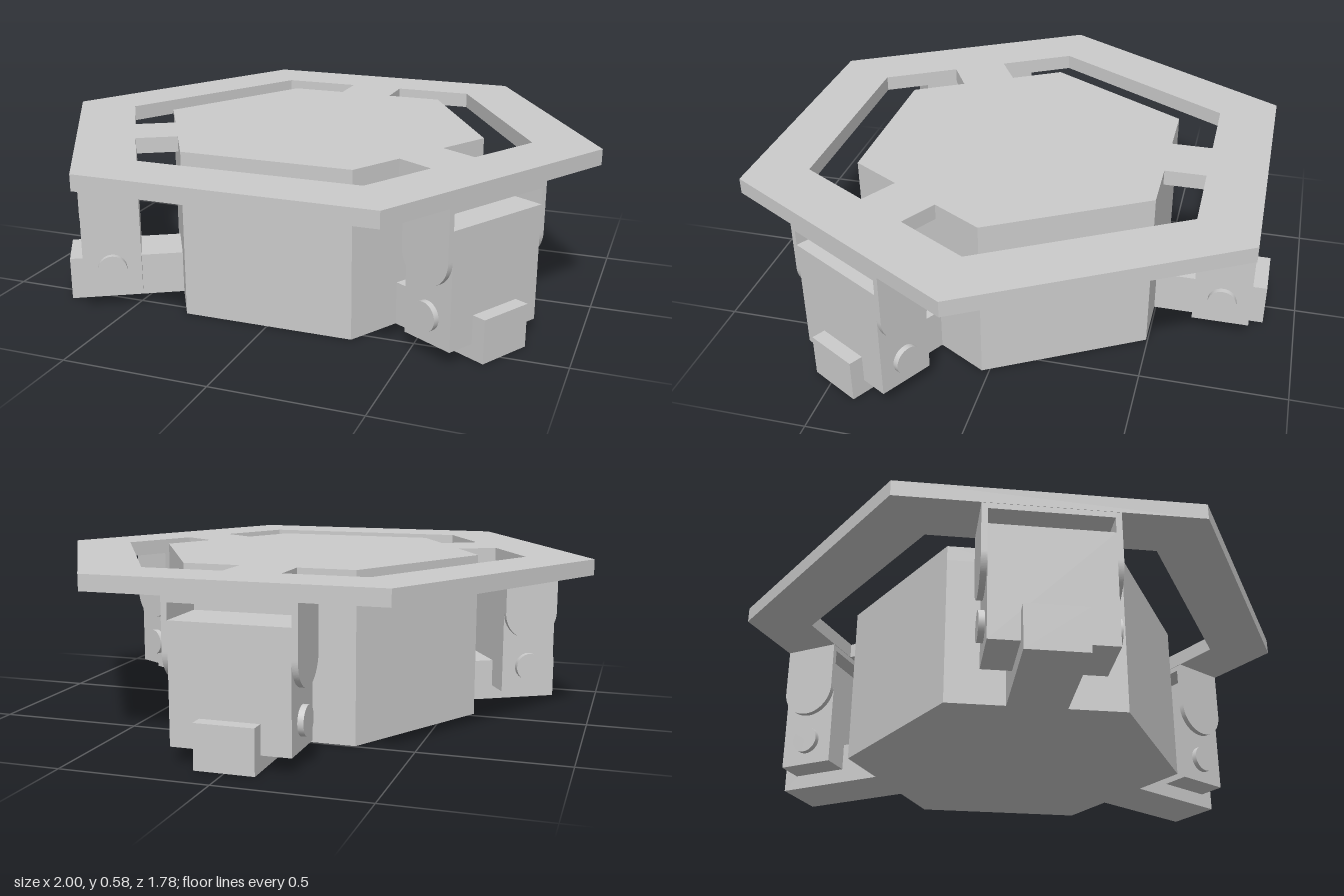
import * as THREE from 'three';

const material = new THREE.MeshStandardMaterial({ color: 0xcccccc });

function add(parent, name, geometry, x = 0, y = 0, z = 0) {
  const mesh = new THREE.Mesh(geometry, material);
  mesh.name = name;
  mesh.position.set(x, y, z);
  parent.add(mesh);
  return mesh;
}

// Box given by half width, height range and radial range
function addBox(parent, name, halfWidth, y0, y1, r0, r1) {
  return add(parent, name, new THREE.BoxGeometry(2 * halfWidth, y1 - y0, r1 - r0),
    0, (y0 + y1) / 2, (r0 + r1) / 2);
}

function hexagon(radius) {
  const points = [];
  for (let i = 0; i < 6; i++) {
    const a = i * Math.PI / 3;
    points.push(new THREE.Vector2(radius * Math.cos(a), radius * Math.sin(a)));
  }
  return points;
}

// Extrudes a plan outline (x, z) downwards from y = 0
function slab(shape, depth) {
  return new THREE.ExtrudeGeometry(shape, { depth, bevelEnabled: false }).rotateX(Math.PI / 2);
}

const BODY_R = 0.6, HOLE_R = 0.766, SPOKE = 0.1;
const APOTHEM = Math.sqrt(3) / 2;

// Hexagonal ring joined to the centre by three spokes
function topPlate() {
  const shape = new THREE.Shape(hexagon(1));
  const onSpoke = (r) => new THREE.Vector2(APOTHEM * r - SPOKE / 2, r / 2 + SPOKE * APOTHEM);
  const half = [
    new THREE.Vector2(HOLE_R / 2, HOLE_R * APOTHEM),
    onSpoke(HOLE_R * APOTHEM),
    onSpoke(BODY_R * APOTHEM),
    new THREE.Vector2(BODY_R / 2, BODY_R * APOTHEM),
  ];
  const mirrored = half.map((p) => new THREE.Vector2(-p.x, p.y)).reverse();
  for (let i = 0; i < 3; i++) {
    const centre = new THREE.Vector2();
    const outline = [...half, ...mirrored].map((p) => p.clone().rotateAround(centre, i * 2 * Math.PI / 3));
    shape.holes.push(new THREE.Path(outline));
  }
  return slab(shape, 0.055);
}

// One arm, reaching outwards along its local +z
function makeArm() {
  const arm = new THREE.Group();
  arm.name = 'arm';
  const r0 = 0.665, r1 = 0.865, mid = (r0 + r1) / 2;

  // Notched rail holding the motor block
  const rail = new THREE.Shape([
    [0.5, 0], [0.915, 0], [0.915, 0.15], [r1, 0.15], [r1, 0.052], [r0, 0.052], [r0, 0.15], [0.5, 0.15],
  ].map(([r, y]) => new THREE.Vector2(r, y)));
  add(arm, 'rail', new THREE.ExtrudeGeometry(rail, { depth: 2 * SPOKE, bevelEnabled: false })
    .rotateY(-Math.PI / 2), SPOKE);

  addBox(arm, 'motorBlock', 0.2, 0.052, 0.45, r0, r1);
  addBox(arm, 'bracketTop', 0.2, 0.505, 0.525, r0, r1);

  // Round-ended bracket tabs and pivot discs on both sides
  const tab = new THREE.Shape();
  tab.moveTo(r1, 0.525);
  tab.lineTo(r0, 0.525);
  tab.lineTo(r0, 0.35);
  tab.absarc(mid, 0.35, 0.1, Math.PI, 2 * Math.PI, false);
  const tabGeometry = new THREE.ExtrudeGeometry(tab, { depth: 0.02, bevelEnabled: false, curveSegments: 32 })
    .rotateY(-Math.PI / 2);
  const discGeometry = new THREE.CylinderGeometry(0.05, 0.05, 0.02, 32).rotateZ(Math.PI / 2);
  for (const side of [-1, 1]) {
    add(arm, 'bracketTab', tabGeometry, side * 0.21 + 0.01);
    add(arm, 'pivotDisc', discGeometry, side * 0.21, 0.145, mid);
  }
  return arm;
}

export function createModel() {
  const model = new THREE.Group();
  model.name = 'hexagonalPlatform';

  add(model, 'body', slab(new THREE.Shape(hexagon(BODY_R)), 0.525), 0, 0.525);
  add(model, 'topPlate', topPlate(), 0, 0.58);

  for (let i = 0; i < 3; i++) {
    const arm = makeArm();
    arm.rotation.y = Math.PI + i * 2 * Math.PI / 3;
    model.add(arm);
  }

  // Centre the overall depth
  model.children.forEach((part) => { part.position.z += 0.025; });
  return model;
}
